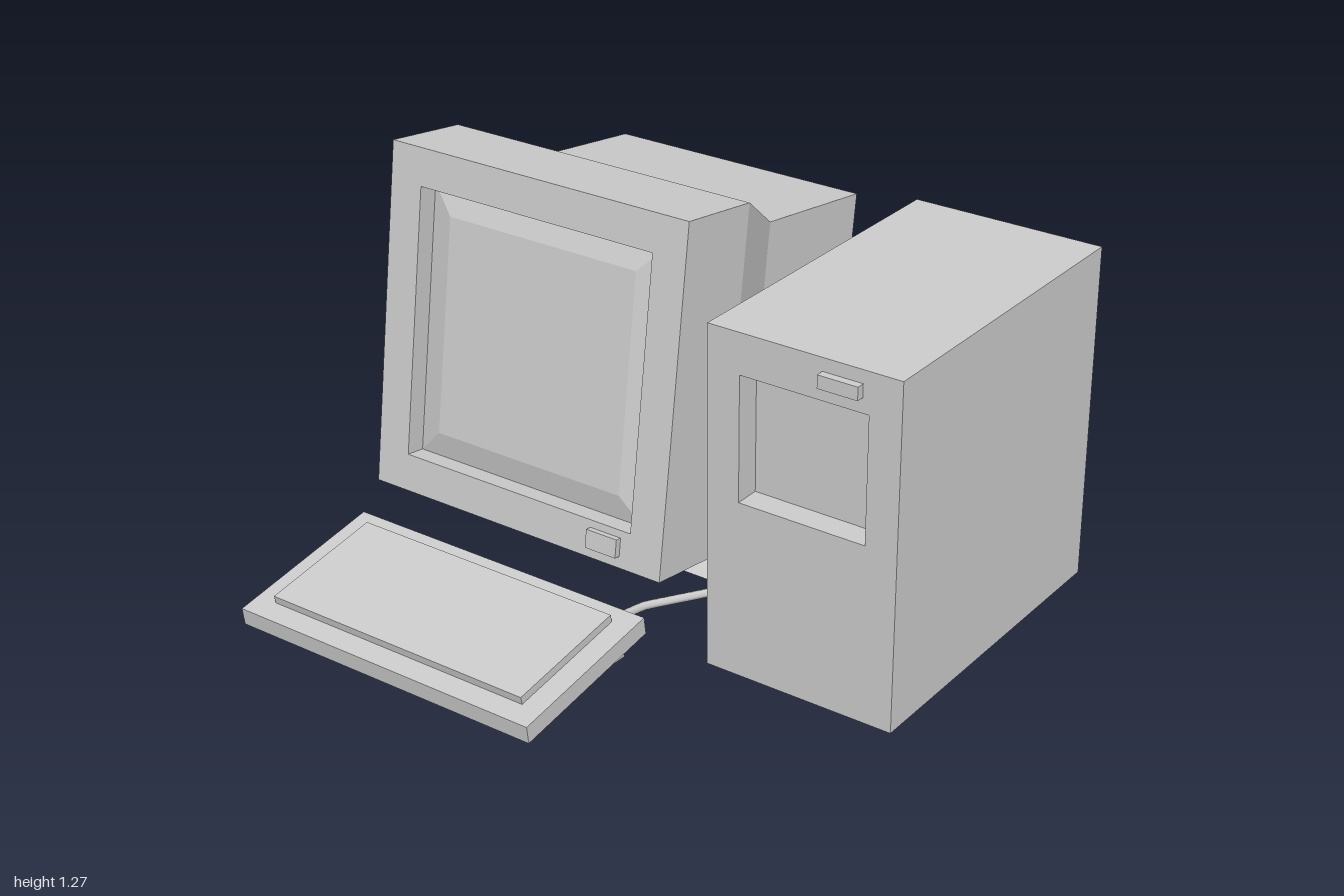
import * as THREE from 'three';

const grey = new THREE.MeshStandardMaterial({ color: 0xcccccc, flatShading: true });
const smooth = new THREE.MeshStandardMaterial({ color: 0xcccccc });

function add(parent, name, geometry, x = 0, y = 0, z = 0, material = grey) {
  const mesh = new THREE.Mesh(geometry, material);
  mesh.name = name;
  mesh.position.set(x, y, z);
  parent.add(mesh);
  return mesh;
}

function group(parent, name) {
  const g = new THREE.Group();
  g.name = name;
  parent.add(g);
  return g;
}

// Box given by its min and max corners
function block(parent, name, x0, x1, y0, y1, z0, z1) {
  return add(parent, name, new THREE.BoxGeometry(x1 - x0, y1 - y0, z1 - z0),
    (x0 + x1) / 2, (y0 + y1) / 2, (z0 + z1) / 2);
}

function rectangle(Type, x0, x1, y0, y1) {
  return new Type([[x0, y0], [x1, y0], [x1, y1], [x0, y1]].map(p => new THREE.Vector2(...p)));
}

// Slab with a rectangular opening, from z0 forward by depth
function frame(parent, name, outer, hole, z0, depth) {
  const shape = rectangle(THREE.Shape, ...outer);
  shape.holes.push(rectangle(THREE.Path, ...hole));
  return add(parent, name, new THREE.ExtrudeGeometry(shape, { depth, bevelEnabled: false }), 0, 0, z0);
}

// Side profile of [z, y] points, extruded from x0 to x1
function sideProfile(parent, name, points, x0, x1) {
  const shape = new THREE.Shape(points.map(([z, y]) => new THREE.Vector2(-z, y)));
  const geo = new THREE.ExtrudeGeometry(shape, { depth: x1 - x0, bevelEnabled: false });
  geo.rotateY(Math.PI / 2);
  return add(parent, name, geo, x0);
}

// Closed loft through rectangles [distance back, half width, bottom, top]
function loft(sections) {
  const rings = sections.map(([d, w, b, t]) => [[-w, b, -d], [w, b, -d], [w, t, -d], [-w, t, -d]]);
  const first = rings[0], last = rings[rings.length - 1];
  const out = [first[0], first[1], first[2], first[0], first[2], first[3],
    last[0], last[2], last[1], last[0], last[3], last[2]];
  for (let s = 0; s < rings.length - 1; s++) {
    for (let i = 0; i < 4; i++) {
      const j = (i + 1) % 4;
      const a = rings[s][i], b = rings[s][j], c = rings[s + 1][j], e = rings[s + 1][i];
      out.push(a, e, c, a, c, b);
    }
  }
  const geo = new THREE.BufferGeometry();
  geo.setAttribute('position', new THREE.Float32BufferAttribute(out.flat(), 3));
  geo.computeVertexNormals();
  return geo;
}

function cable(parent, name, points) {
  const curve = new THREE.CatmullRomCurve3(points.map(p => new THREE.Vector3(...p)), false, 'catmullrom', 0.15);
  add(parent, name, new THREE.TubeGeometry(curve, points.length * 5, 0.013, 6), 0, 0, 0, smooth);
}

function buildMonitor(model) {
  const monitor = group(model, 'monitor');
  monitor.position.set(-0.383, 0.22, 0.4);
  monitor.rotation.x = -0.14;

  // Deep bezel around the screen
  frame(monitor, 'bezel', [-0.5275, 0.5275, 0, 1.06], [-0.415, 0.415, 0.115, 0.945], -0.288, 0.288);
  add(monitor, 'screen', loft([[0.042, 0.335, 0.195, 0.865], [0.065, 0.415, 0.115, 0.945]]));
  block(monitor, 'powerButton', 0.275, 0.383, 0.035, 0.092, -0.01, 0.02);

  // Housing narrowing to the rear
  add(monitor, 'rearHousing', loft([
    [0.288, 0.5275, 0, 1.06],
    [0.545, 0.4375, 0.07, 0.935],
    [1.015, 0.4375, 0.07, 0.935],
    [1.18, 0.1975, 0.177, 0.7],
  ]));

  // Sloped foot on the ground
  const foot = loft([[-0.22, 0.2175, 0.22, 0.55], [0, 0.4375, 0, 0.77]]);
  foot.rotateX(-Math.PI / 2);
  add(model, 'monitorStand', foot, -0.383);
}

function buildTower(model) {
  const tower = group(model, 'tower');
  const outer = [0.295, 0.905, 0, 1.06];
  block(tower, 'towerBody', ...outer, -0.605, 0.3);
  frame(tower, 'towerFront', outer, [0.4, 0.805, 0.55, 0.935], 0.3, 0.08);
  frame(tower, 'towerBack', outer, [0.39, 0.695, 0.08, 0.85], -0.685, 0.08);
  block(tower, 'towerButton', 0.66, 0.785, 0.98, 1.02, 0.37, 0.405);
}

function buildKeyboard(model) {
  const keyboard = group(model, 'keyboard');
  sideProfile(keyboard, 'keyboardBase', [[0.993, 0.005], [1, 0.06], [0.473, 0.142], [0.465, 0.087]], -0.91, 0.145);
  sideProfile(keyboard, 'keyPanel', [[0.93, 0.06], [0.937, 0.095], [0.535, 0.157], [0.529, 0.122]], -0.84, 0.075);
  for (const x of [-0.85, 0.015]) {
    sideProfile(keyboard, 'keyboardFoot', [[0.565, 0.085], [0.53, 0], [0.487, 0], [0.515, 0.092]], x, x + 0.07);
  }
}

export function createModel() {
  const model = new THREE.Group();
  model.name = 'desktopComputer';
  buildMonitor(model);
  buildTower(model);
  buildKeyboard(model);

  // Cables along the floor, meeting in the tower's rear recess
  cable(model, 'monitorCable', [
    [-0.28, 0.34, -0.78], [-0.27, 0.34, -0.88], [-0.25, 0.28, -0.95], [-0.23, 0.19, -0.985],
    [-0.21, 0.015, -0.987], [0.43, 0.015, -0.987], [0.57, 0.02, -0.93], [0.62, 0.05, -0.82],
    [0.62, 0.17, -0.73], [0.62, 0.21, -0.685], [0.62, 0.22, -0.6],
  ]);
  cable(model, 'keyboardCable', [
    [0.56, 0.22, -0.6], [0.56, 0.2, -0.69], [0.55, 0.17, -0.73], [0.48, 0.06, -0.77], [0.38, 0.015, -0.75],
    [0.24, 0.015, -0.7], [0.2, 0.015, -0.6], [0.18, 0.015, -0.17], [0.12, 0.015, 0.03],
    [-0.02, 0.015, 0.25], [-0.035, 0.03, 0.4], [-0.035, 0.06, 0.5], [-0.035, 0.09, 0.55],
  ]);
  return model;
}
